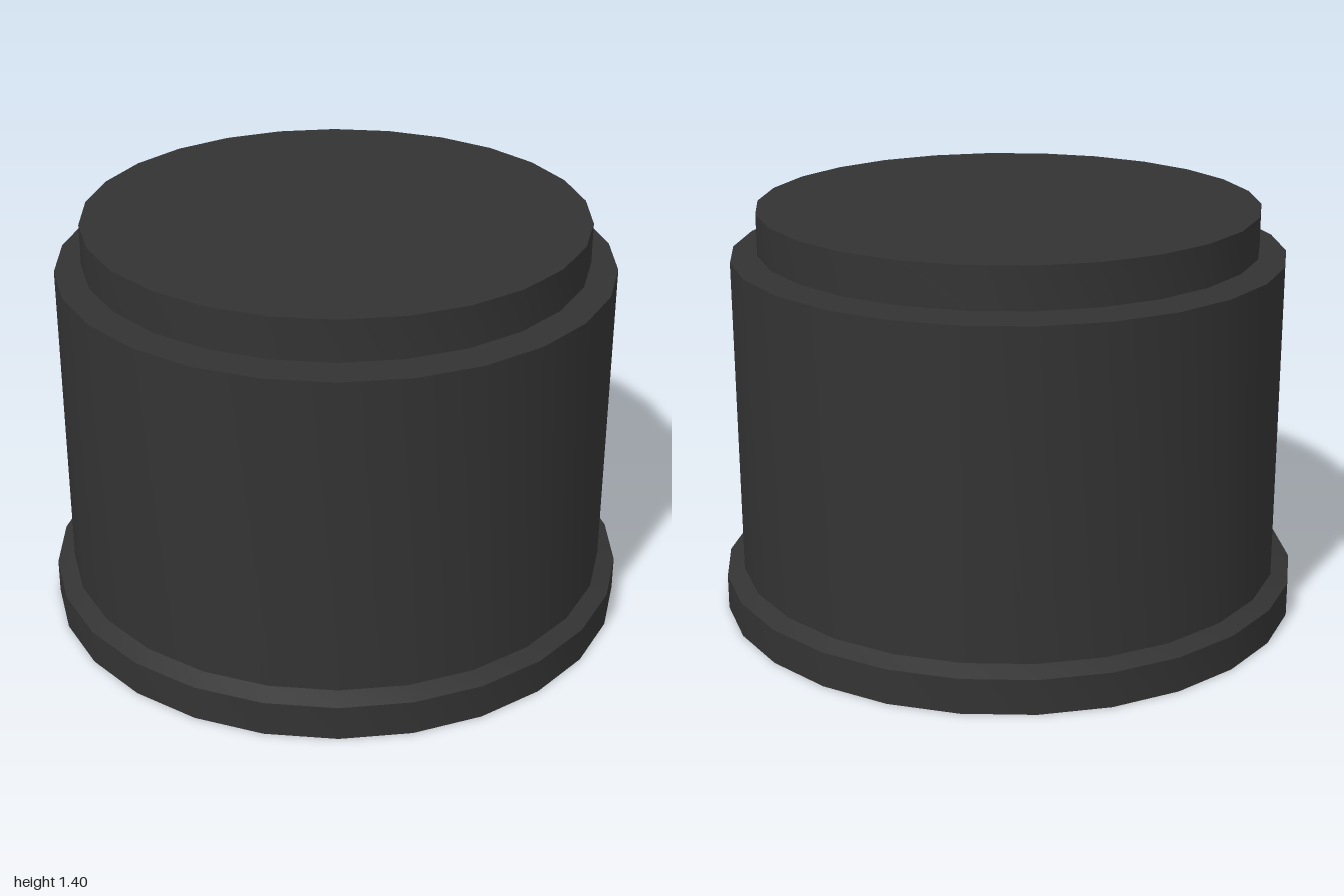
import * as THREE from 'three';
import { toCreasedNormals } from 'three/addons/utils/BufferGeometryUtils.js';

const SIDES = 26;

export function createModel() {
  const group = new THREE.Group();
  const charcoal = new THREE.MeshStandardMaterial({ color: 0x333333 });
  charcoal.name = 'charcoal';

  // Turned part from [radius, height] points, with a corner on the x axis
  function turned(name, profile) {
    const points = profile.map(([r, y]) => new THREE.Vector2(r, y));
    const lathe = new THREE.LatheGeometry(points, SIDES, Math.PI / 2);
    const mesh = new THREE.Mesh(toCreasedNormals(lathe, 0.4), charcoal);
    mesh.name = name;
    group.add(mesh);
  }

  // Hollow body with a chamfered foot flange and a central bore
  turned('body', [
    [0.6, 0], [1, 0], [1, 0.12], [0.94, 0.145],
    [0.94, 1.24], [0.6, 1.24], [0.6, 0],
  ]);

  // Short neck closing the bore, carrying the raised disc
  turned('cap', [
    [0, 1.24], [0.6, 1.24], [0.6, 1.26],
    [0.85, 1.26], [0.85, 1.4], [0, 1.4],
  ]);

  return group;
}
